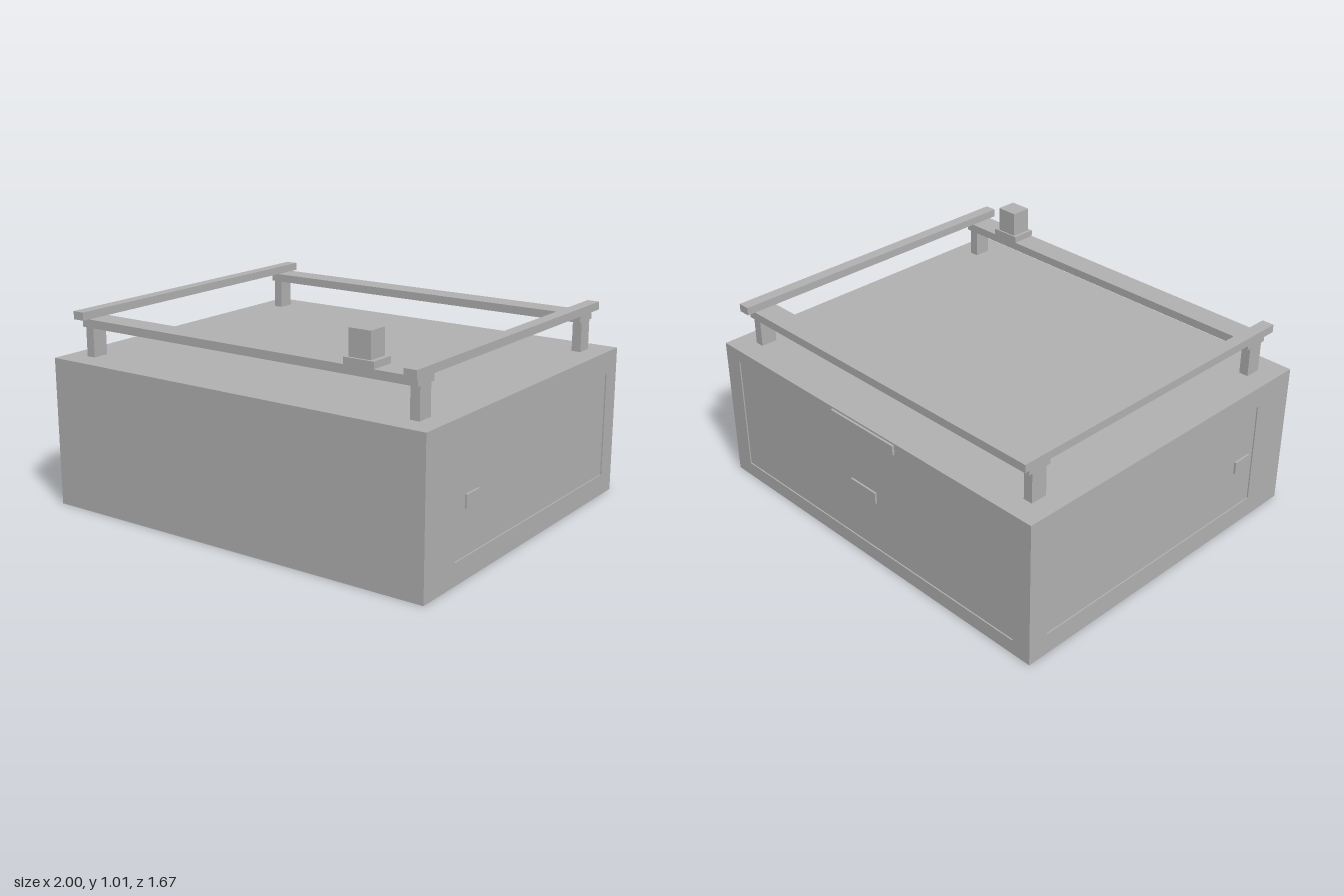
import * as THREE from 'three';

export function createModel() {
  const model = new THREE.Group();
  const grey = new THREE.MeshStandardMaterial({ color: 0xb0b0b0 });
  grey.name = 'plain grey';

  function add(name, geometry) {
    const mesh = new THREE.Mesh(geometry, grey);
    mesh.name = name;
    model.add(mesh);
    return mesh;
  }

  // Box given by its limits on each axis
  function box(name, x0, x1, y0, y1, z0, z1) {
    const mesh = add(name, new THREE.BoxGeometry(x1 - x0, y1 - y0, z1 - z0));
    mesh.position.set((x0 + x1) / 2, (y0 + y1) / 2, (z0 + z1) / 2);
    return mesh;
  }

  // Thin rectangular frame around a sunken panel, extruded along +z
  function frame(name, a0, a1, height, h0, h1, b0, b1, depth) {
    const shape = new THREE.Shape();
    shape.moveTo(a0, 0).lineTo(a1, 0).lineTo(a1, height).lineTo(a0, height).closePath();
    const hole = new THREE.Path();
    hole.moveTo(h0, b0).lineTo(h0, b1).lineTo(h1, b1).lineTo(h1, b0).closePath();
    shape.holes.push(hole);
    return add(name, new THREE.ExtrudeGeometry(shape, { depth, bevelEnabled: false }));
  }

  const W = 0.98, H = 0.69, back = -0.815, front = 0.832, sunk = 0.006;

  // Body core with sunken door panels on the back and both sides
  box('body', -W + sunk, W - sunk, 0, H, back + sunk, front);
  const backFrame = frame('backDoorFrame', -W + sunk, W - sunk, H, -0.885, 0.885, 0.07, 0.63, sunk);
  backFrame.position.z = back;
  const rightFrame = frame('rightDoorFrame', -front, -back, H, -0.61, 0.715, 0.1, 0.59, sunk);
  rightFrame.rotation.y = Math.PI / 2;
  rightFrame.position.x = -W;
  rightFrame.name = 'rightDoorFrame';
  const leftFrame = frame('leftDoorFrame', -front, -back, H, -0.61, 0.715, 0.1, 0.59, sunk);
  leftFrame.rotation.y = Math.PI / 2;
  leftFrame.position.x = W - sunk;

  // Door handles and the grip above the back door
  box('backHandle', -0.08, 0.08, 0.335, 0.39, -0.834, -0.825);
  box('backGrip', -0.2, 0.2, 0.637, 0.682, -0.826, back);
  for (const [side, label] of [[-1, 'right'], [1, 'left']]) {
    const handle = box(label + 'Handle', -0.005, 0.005, 0.316, 0.374, 0.457, 0.557);
    handle.position.x = side * 0.995;

    // Posts and the upper rail along each side
    for (const [z, end] of [[0.686, 'front'], [-0.672, 'back']]) {
      const post = box(`${end}${label}Post`, -0.022, 0.022, H, 0.83, z - 0.039, z + 0.039);
      post.position.x = side * 0.861;
    }
    const rail = box(label + 'Rail', -0.029, 0.029, 0.867, 0.904, -0.768, 0.779);
    rail.position.x = side * 0.872;
  }

  // Lower rails across the front and back
  box('frontRail', -0.884, 0.884, 0.829, 0.867, 0.626, 0.743);
  box('backRail', -0.884, 0.884, 0.829, 0.867, -0.729, -0.614);

  // Lamp block on its foot plate
  box('lampFoot', 0.541, 0.684, 0.867, 0.897, 0.626, 0.743);
  box('lamp', 0.557, 0.662, 0.897, 1.013, 0.634, 0.731);

  return model;
}
